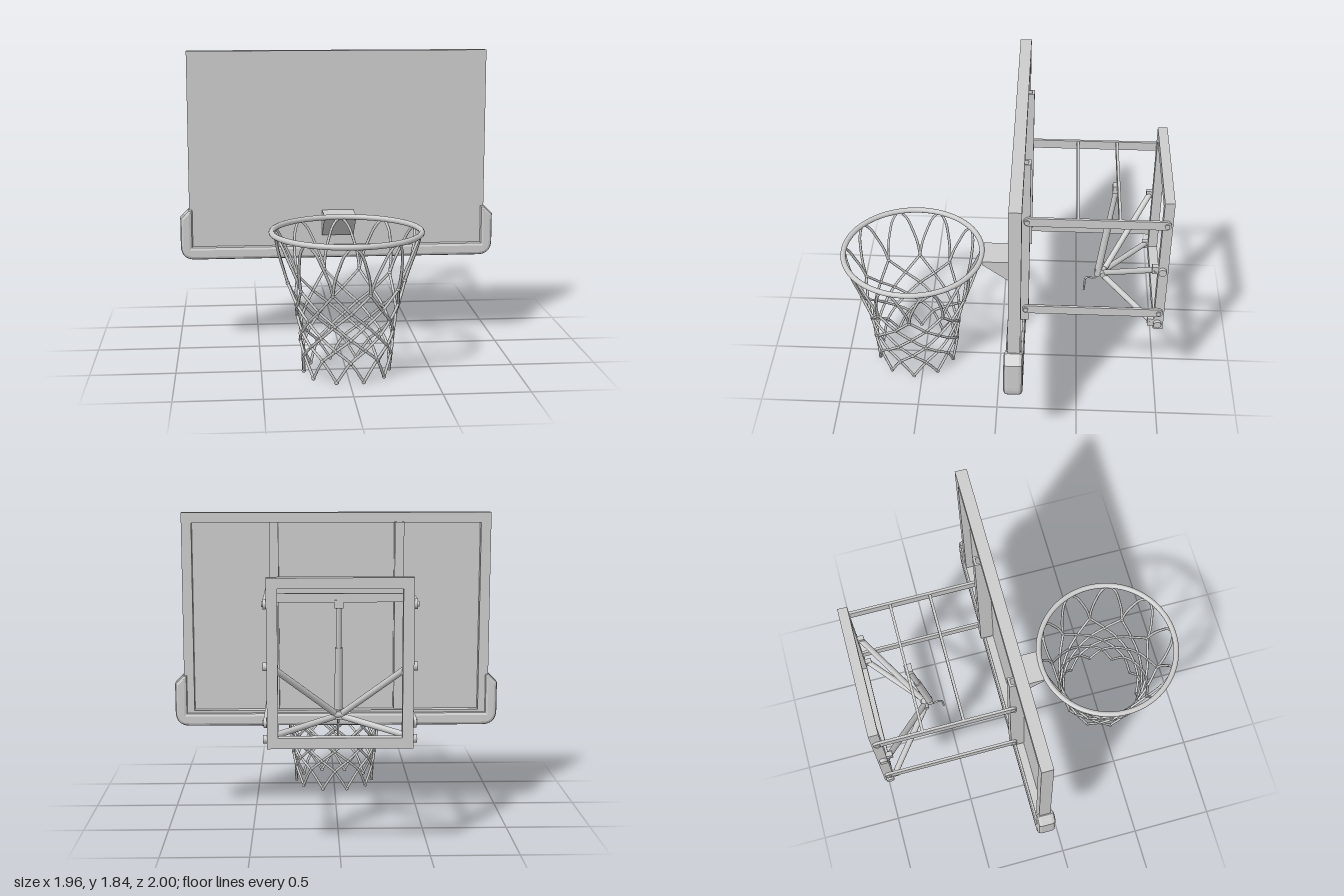
import * as THREE from 'three';
import { mergeGeometries } from 'three/addons/utils/BufferGeometryUtils.js';

const V = (x, y, z) => new THREE.Vector3(x, y, z);
const grey = new THREE.MeshStandardMaterial({ color: 0xcccccc });

export function createModel() {
  const model = new THREE.Group();

  const add = (name, geo) => {
    const mesh = new THREE.Mesh(geo, grey);
    mesh.name = name;
    model.add(mesh);
    return mesh;
  };
  const boxGeo = (w, h, d, x, y, z) => new THREE.BoxGeometry(w, h, d).translate(x, y, z);
  const box = (name, ...dims) => add(name, boxGeo(...dims));
  // Cylinder running from point a to point b
  const rod = (name, a, b, r, sides = 16) => {
    const dir = b.clone().sub(a);
    const geo = new THREE.CylinderGeometry(r, r, dir.length(), sides);
    geo.applyQuaternion(new THREE.Quaternion().setFromUnitVectors(V(0, 1, 0), dir.normalize()));
    const mid = a.clone().add(b).multiplyScalar(0.5);
    return add(name, geo.translate(mid.x, mid.y, mid.z));
  };
  // Rectangular frame with an open middle, extruded along z
  const frame = (name, x, y0, y1, border, z0, z1) => {
    const rect = (T, e) => new T([[-x + e, y0 + e], [x - e, y0 + e], [x - e, y1 - e], [-x + e, y1 - e]]
      .map(p => new THREE.Vector2(...p)));
    const shape = rect(THREE.Shape, 0);
    shape.holes.push(rect(THREE.Path, border));
    const geo = new THREE.ExtrudeGeometry(shape, { depth: z1 - z0, bevelEnabled: false });
    return add(name, geo.translate(0, 0, z0));
  };

  // Backboard: front panel with a raised rim behind it
  box('backboardPanel', 1.848, 1.26, 0.022, 0, 1.21, -0.094);
  frame('backboardRim', 0.924, 0.58, 1.84, 0.06, -0.153, -0.1);

  // U-shaped padding along the bottom edge and lower corners
  const X = 0.98, B = 0.545, T = 0.86, xi = 0.905, yi = 0.627, R = 0.09, C = 0.05;
  const pad = new THREE.Shape();
  pad.moveTo(-X + R, B);
  pad.lineTo(X - R, B);
  pad.quadraticCurveTo(X, B, X, B + R);
  pad.lineTo(X, T - C);
  pad.lineTo(X - C, T);
  pad.lineTo(xi, T);
  pad.lineTo(xi, yi);
  pad.lineTo(-xi, yi);
  pad.lineTo(-xi, T);
  pad.lineTo(-X + C, T);
  pad.lineTo(-X, T - C);
  pad.lineTo(-X, B + R);
  pad.quadraticCurveTo(-X, B, -X + R, B);
  add('edgePadding', new THREE.ExtrudeGeometry(pad, {
    depth: 0.066, bevelThickness: 0.022, bevelSize: 0.02, bevelOffset: -0.02, bevelSegments: 2, curveSegments: 8,
  }).translate(0, 0, -0.148));

  // Wedge bracket carrying the rim
  const wedge = new THREE.Shape([[-0.09, 0.69], [-0.07, 0.69], [0.11, 0.825], [0.11, 0.848], [-0.09, 0.848]]
    .map(p => new THREE.Vector2(...p)));
  add('rimBracket', new THREE.ExtrudeGeometry(wedge, { depth: 0.196, bevelEnabled: false })
    .rotateY(-Math.PI / 2).translate(0.098, 0, 0));

  // Rim
  const ringZ = 0.55;
  add('rim', new THREE.TorusGeometry(0.433, 0.017, 12, 72).rotateX(Math.PI / 2).translate(0, 0.84, ringZ));

  // Net: hanging loops, then two sets of crossing cords with knots
  const LOOPS = 10, step = Math.PI / LOOPS;
  const polar = (a, y, r) => V(Math.sin(a) * r, y, ringZ + Math.cos(a) * r);
  const cord = pts => new THREE.TubeGeometry(new THREE.CatmullRomCurve3(pts), pts.length * 4, 0.0085, 6);
  const rows = [[0.54, 0.342], [0.43, 0.306], [0.35, 0.288], [0.27, 0.277], [0.2, 0.27], [0.13, 0.264], [0.01, 0.252]];
  const arch = [[-1, 0.54, 0.342], [-0.87, 0.62, 0.366], [-0.62, 0.71, 0.394], [-0.34, 0.795, 0.418], [0, 0.838, 0.43],
    [0.34, 0.795, 0.418], [0.62, 0.71, 0.394], [0.87, 0.62, 0.366], [1, 0.54, 0.342]];
  const netParts = [];
  for (let k = 0; k < LOOPS; k++) {
    const a = 2 * k * step;
    netParts.push(cord(arch.map(([t, y, r]) => polar(a + t * step, y, r))));
    for (const s of [-1, 1])
      netParts.push(cord(rows.map(([y, r], i) => polar(a + step + s * i * step, y, r))));
    rows.forEach(([y, r], i) => {
      const p = polar(a + (i + 1) * step, y, r);
      netParts.push(new THREE.SphereGeometry(0.0125, 8, 6).translate(p.x, p.y, p.z));
    });
  }
  add('net', mergeGeometries(netParts));

  // Wall frame at the back
  frame('wallFrame', 0.398, 0.61, 1.545, 0.06, -1, -0.942);

  // Flat arm with rounded ends, lying in the yz plane
  const armGeo = (z0, z1, r) => {
    const s = new THREE.Shape();
    s.absarc(z1 - r, 0, r, -Math.PI / 2, Math.PI / 2);
    s.absarc(z0 + r, 0, r, Math.PI / 2, Math.PI * 1.5);
    return new THREE.ExtrudeGeometry(s, { depth: 0.016, bevelEnabled: false, curveSegments: 8 })
      .rotateY(-Math.PI / 2).translate(0.008, 0, 0);
  };
  const bolt = (x, y, z) => rod('bolt', V(x - 0.013, y, z), V(x + 0.013, y, z), 0.015, 12);

  for (const s of [-1, 1]) {
    // Rails behind the board: channel section
    box('boardRail', 0.055, 1.13, 0.014, s * 0.374, 1.22, -0.18);
    for (const e of [-1, 1])
      box('boardRailFlange', 0.01, 1.13, 0.08, s * 0.374 + e * 0.0225, 1.22, -0.144);

    // Parallel lift arms with pivot bolts
    for (const y of [1.4, 0.748]) {
      add('liftArm', armGeo(-0.99, -0.15, 0.028).translate(s * 0.408, y, 0));
      bolt(s * 0.412, y, -0.17);
      bolt(s * 0.412, y, -0.965);
    }

    // Braces from the wall frame to the lift's lower pivot
    rod('upperBrace', V(s * 0.385, 1.06, -0.93), V(s * 0.025, 0.735, -0.655), 0.018);
    rod('lowerBrace', V(s * 0.385, 0.66, -0.93), V(s * 0.025, 0.71, -0.645), 0.018);
    for (const y of [1.06, 0.658]) {
      box('braceLug', 0.03, 0.05, 0.05, s * 0.38, y, -0.93);
      rod('frameBolt', V(s * 0.39, y, -0.965), V(s * 0.42, y, -0.965), 0.024, 12);
    }
  }

  // Cross bars between the upper arms
  for (const z of [-0.7, -0.46]) box('crossBar', 0.808, 0.05, 0.016, 0, 1.4, z);

  // Height adjuster: telescoping tube, pivots and crank
  const low = V(0, 0.69, -0.605), top = V(0, 1.37, -0.692);
  rod('adjusterInnerTube', low, top, 0.016);
  rod('adjusterOuterTube', low.clone().lerp(top, 0.08), low.clone().lerp(top, 0.62), 0.022);
  box('adjusterTopLug', 0.05, 0.045, 0.045, 0, 1.365, -0.69);
  rod('lowerPivot', V(-0.045, 0.725, -0.645), V(0.045, 0.725, -0.645), 0.022);
  box('pivotBlock', 0.035, 0.05, 0.07, 0, 0.722, -0.625);
  const crank = new THREE.CatmullRomCurve3([V(0, 0.7, -0.605), V(0, 0.665, -0.59), V(0, 0.675, -0.555),
    V(0, 0.665, -0.535), V(0, 0.62, -0.53), V(0, 0.57, -0.527)]);
  add('crankHandle', new THREE.TubeGeometry(crank, 32, 0.006, 8));

  return model;
}
